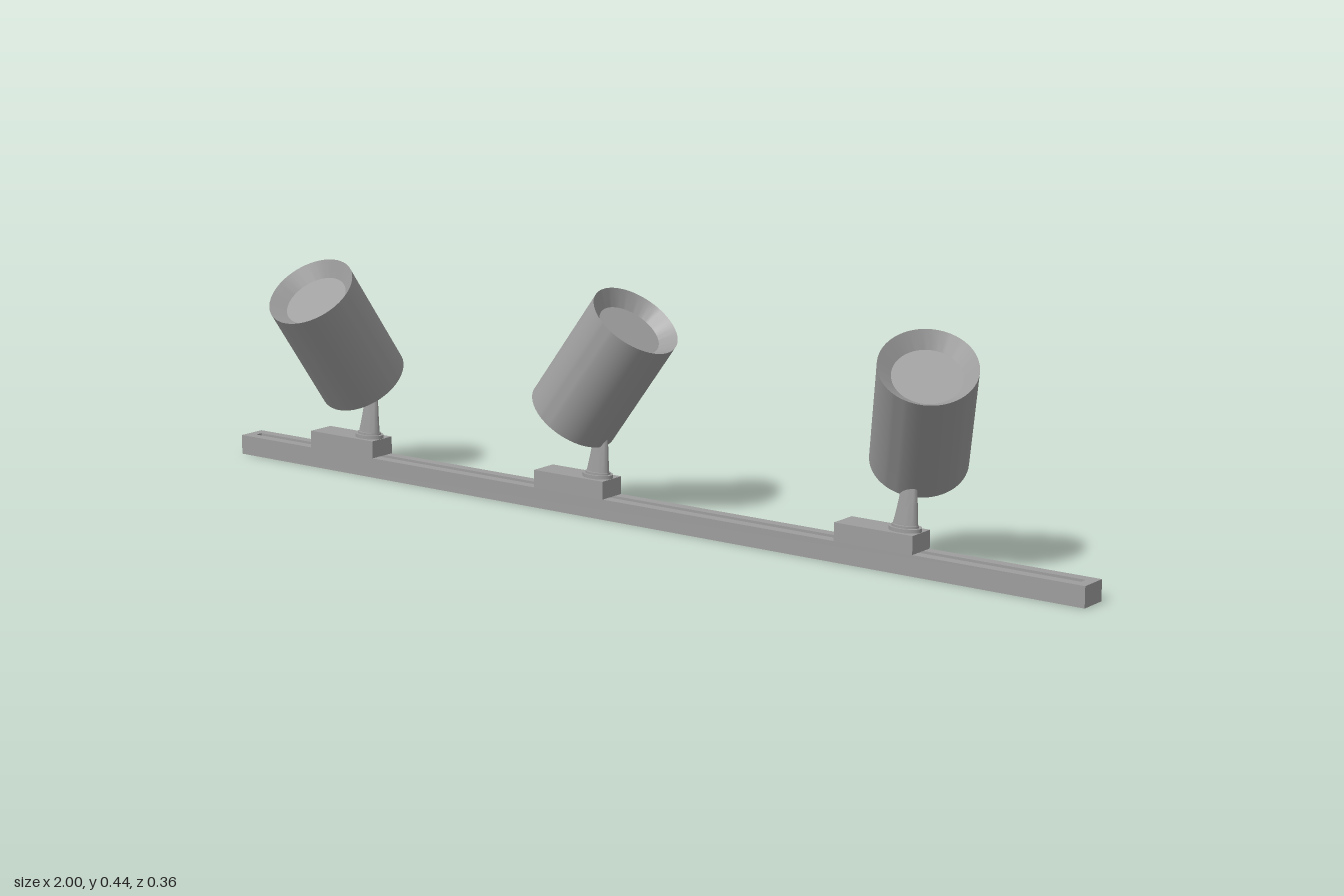
import * as THREE from 'three';
import { toCreasedNormals } from 'three/addons/utils/BufferGeometryUtils.js';

const material = new THREE.MeshStandardMaterial({ color: 0x9d9d9d });
const RAIL_Z = -0.0265, RAIL_W = 0.059, RAIL_H = 0.04;

function add(parent, name, geometry, x = 0, y = 0, z = 0) {
  const mesh = new THREE.Mesh(geometry, material);
  mesh.name = name;
  mesh.position.set(x, y, z);
  parent.add(mesh);
  return mesh;
}

// Channel section swept along x, closed by a cap at each end
function buildRail() {
  const rail = new THREE.Group();
  rail.name = 'rail';
  const w = RAIL_W / 2, slot = 0.008, floor = 0.02, len = 1.96;
  const section = new THREE.Shape([
    [-w, 0], [w, 0], [w, RAIL_H], [slot, RAIL_H],
    [slot, floor], [-slot, floor], [-slot, RAIL_H], [-w, RAIL_H],
  ].map(([x, y]) => new THREE.Vector2(x, y)));
  const channel = new THREE.ExtrudeGeometry(section, { depth: len, bevelEnabled: false });
  channel.translate(0, 0, -len / 2).rotateY(Math.PI / 2);
  add(rail, 'channel', channel, 0, 0, RAIL_Z);
  for (const side of [-1, 1]) {
    add(rail, 'endCap', new THREE.BoxGeometry(0.02, RAIL_H, RAIL_W), side * 0.99, RAIL_H / 2, RAIL_Z);
  }
  return rail;
}

// Flattened arm that narrows upward and leans slightly toward +x
function stemGeometry() {
  const h = 0.1;
  const g = new THREE.CylinderGeometry(1, 1, h, 24, 6);
  const p = g.attributes.position;
  for (let i = 0; i < p.count; i++) {
    const t = p.getY(i) / h + 0.5;
    const ease = t * (1.4 - 0.4 * t);
    p.setX(i, p.getX(i) * (0.026 - 0.012 * ease) + 0.009 * ease);
    p.setZ(i, p.getZ(i) * (0.012 - 0.007 * t));
  }
  return toCreasedNormals(g, 0.6);
}

// Plain can with a sharp rim and a funnel leading to the recessed lens
function headGeometry() {
  const r = 0.0905, half = 0.125;
  const profile = [
    [0, -half], [r, -half], [r, half], [0.064, half - 0.026], [0, half - 0.026],
  ].map(([x, y]) => new THREE.Vector2(x, y));
  return toCreasedNormals(new THREE.LatheGeometry(profile, 64), 0.5);
}

// Adapter centre on the rail, head centre and aim for each spotlight
const spots = [
  { x: -0.72, head: [-0.701, 0.29, 0.031], aim: [0, 0.8, 0.6] },
  { x: -0.133, head: [-0.068, 0.29, -0.028], aim: [0.6, 0.8, 0] },
  { x: 0.565, head: [0.641, 0.29, -0.039], aim: [0.36, 0.8, 0.48] },
];

export function createModel() {
  const model = new THREE.Group();
  model.name = 'trackLight';
  model.add(buildRail());

  const head = headGeometry(), stem = stemGeometry();
  for (const s of spots) {
    const spot = new THREE.Group();
    spot.name = 'spotlight';
    const sx = s.x + 0.05;
    add(spot, 'adapter', new THREE.BoxGeometry(0.168, 0.035, RAIL_W), s.x, 0.0575, RAIL_Z);
    // Oval stepped foot under the arm
    add(spot, 'footPlate', new THREE.CylinderGeometry(0.022, 0.022, 0.007, 40), sx, 0.0785, RAIL_Z).scale.x = 1.5;
    add(spot, 'footStep', new THREE.CylinderGeometry(0.017, 0.017, 0.004, 40), sx, 0.084, RAIL_Z).scale.x = 1.6;
    add(spot, 'stem', stem, sx, 0.135, RAIL_Z);
    add(spot, 'lampHead', head, ...s.head).quaternion.setFromUnitVectors(
      new THREE.Vector3(0, 1, 0), new THREE.Vector3(...s.aim).normalize());
    model.add(spot);
  }
  return model;
}
